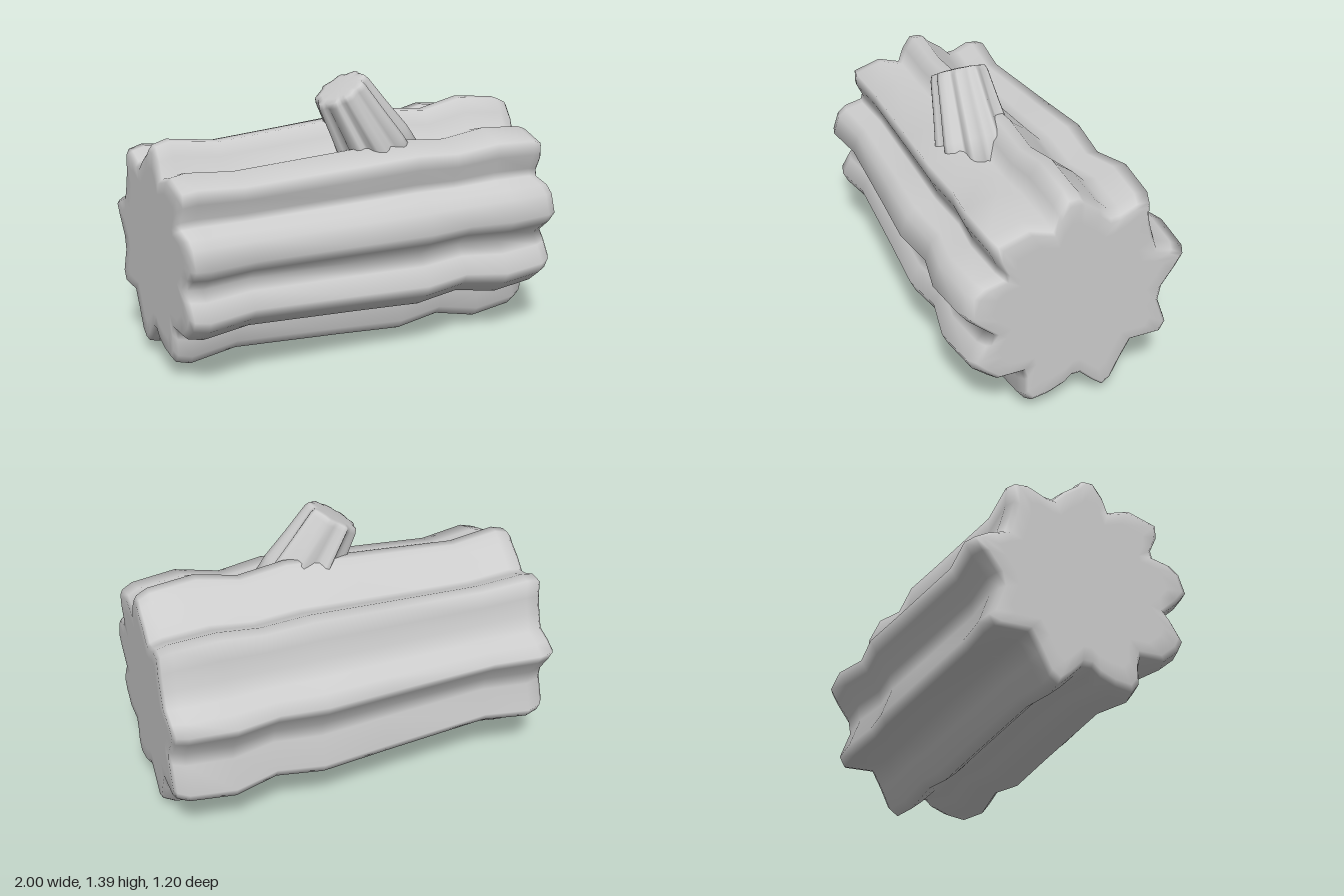
import * as THREE from 'three';

// Ridged bark cross-section as [z, y] about the trunk axis, clockwise seen from +x
const BARK = [
  [.07, .59], [.01, .59], [-.015, .56], [-.1, .5], [-.165, .435], [-.22, .44], [-.31, .48],
  [-.38, .475], [-.385, .37], [-.41, .275], [-.44, .185], [-.53, .155], [-.6, .117], [-.56, .05],
  [-.485, -.055], [-.47, -.14], [-.525, -.29], [-.495, -.345], [-.32, -.345], [-.265, -.445],
  [-.21, -.56], [-.163, -.595], [-.107, -.55], [-.03, -.475], [.025, -.475], [.07, -.515],
  [.155, -.55], [.25, -.565], [.29, -.513], [.29, -.42], [.305, -.36], [.445, -.36], [.53, -.29],
  [.56, -.23], [.505, -.14], [.46, -.085], [.55, -.007], [.6, .057], [.565, .16], [.515, .2],
  [.41, .225], [.4, .265], [.44, .35], [.44, .425], [.28, .475], [.15, .435], [.12, .52],
];

// Lofts the bark outline along x through stations [x, scale, smoothing]
function barkGeometry(stations) {
  const n = BARK.length, pos = [], idx = [];
  for (const [x, s, smooth = 0] of stations) {
    for (const [z, y] of BARK) {
      const k = s * (1 + smooth * (0.55 / Math.hypot(z, y) - 1));
      pos.push(x, y * k, z * k);
    }
  }
  for (let i = 0; i < stations.length - 1; i++) {
    for (let j = 0; j < n; j++) {
      const a = i * n + j, b = i * n + (j + 1) % n;
      idx.push(a, a + n, b, b, a + n, b + n);
    }
  }
  // Close both ends with a fan
  const last = (stations.length - 1) * n, c = stations.length * n;
  pos.push(stations[0][0], 0, 0, stations[stations.length - 1][0], 0, 0);
  for (let j = 0; j < n; j++) {
    const k = (j + 1) % n;
    idx.push(c, j, k, c + 1, last + k, last + j);
  }
  const g = new THREE.BufferGeometry();
  g.setAttribute('position', new THREE.Float32BufferAttribute(pos, 3));
  g.setIndex(idx);
  g.computeVertexNormals();
  return g;
}

export function createModel() {
  const model = new THREE.Group();
  model.name = 'log';
  const bark = new THREE.MeshStandardMaterial({ color: 0xcccccc });
  bark.name = 'pale grey wood';

  // Lying trunk, wavering in girth, with bevelled ends
  const trunk = new THREE.Mesh(barkGeometry([
    [-1, .7], [-1, .84], [-.98, .89], [-.91, .923], [-.67, .868], [-.1, .932], [.24, .975],
    [.48, .92], [.7, 1], [.93, .957], [.985, .91], [1, .87], [1, .72],
  ]), bark);
  trunk.name = 'trunk';
  trunk.position.y = .6;
  model.add(trunk);

  // Cut branch stub leaning out of the upper front
  const stub = new THREE.Mesh(barkGeometry([
    [0, .34], [.2, .325, .1], [.36, .285, .25], [.52, .25, .4], [.545, .235, .5], [.55, .18, .6],
  ]), bark);
  stub.name = 'branchStub';
  const lean = 2.12;
  stub.rotation.z = lean;
  stub.position.set(-.06 - .55 * Math.cos(lean), 1.335 - .55 * Math.sin(lean), .15);
  model.add(stub);

  return model;
}
